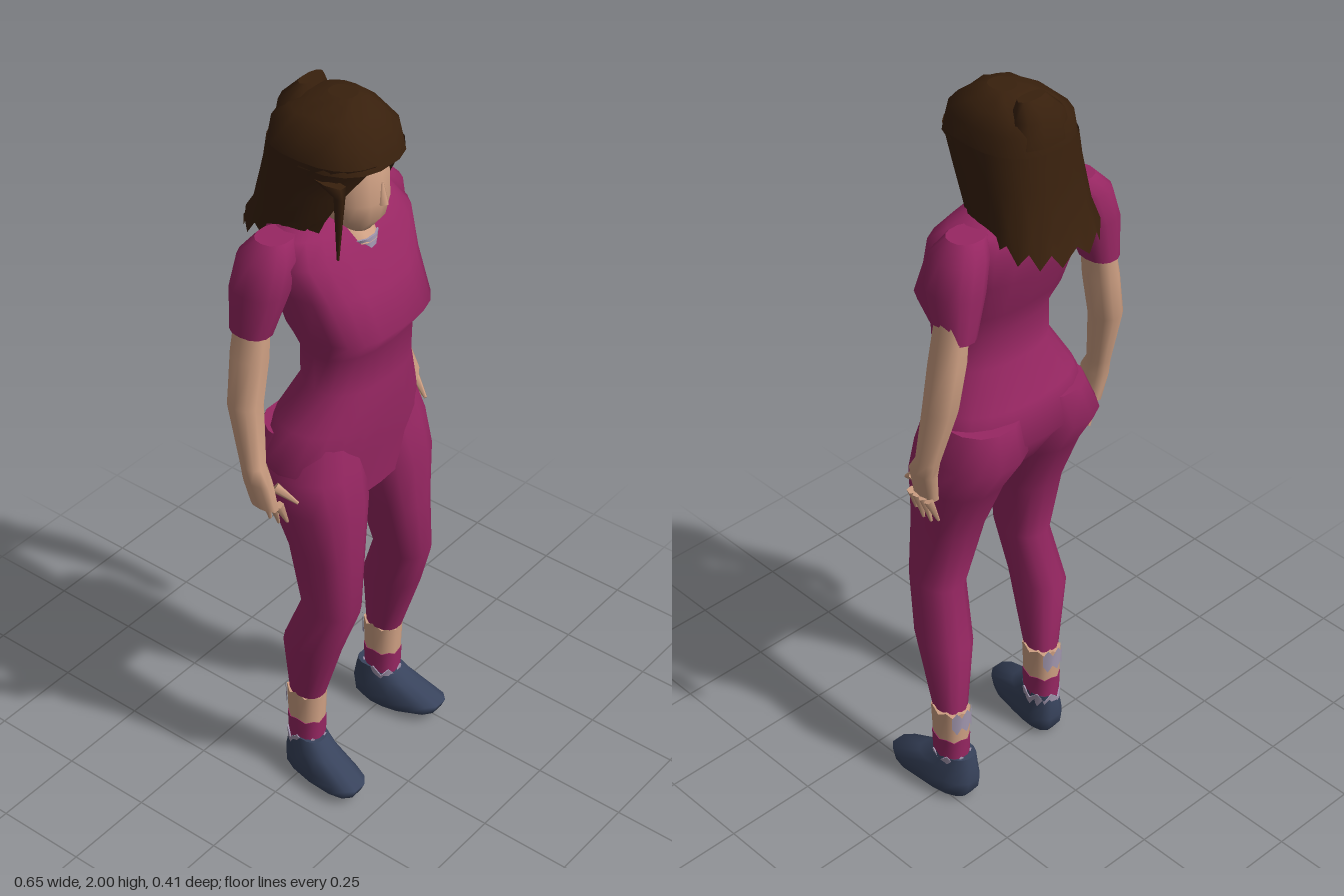
import * as THREE from 'three';

const mat = (name, color, side = THREE.FrontSide) => {
  const m = new THREE.MeshStandardMaterial({ color, side });
  m.name = name;
  return m;
};

// Skin a stack of rings, listed bottom to top.
// Ring: [y, xMin, xMax, zMin, zMax, squareness, zigzag, tilt, frontGap]
function loft(rings, { sides = 14, shear = 0, arc = null, open = false } = {}) {
  const pos = [], idx = [];
  const partial = open || arc;
  const cols = partial ? sides + 1 : sides;
  const bend = (v, n) => Math.sign(v) * Math.pow(Math.abs(v), 2 / n);
  const ringPoint = (r, j) => {
    const [y, x0, x1, z0, z1, n = 2.3, jag = 0, tilt = 0, gap = 0] = r;
    let a0 = 0, a1 = Math.PI * 2;
    if (arc) [a0, a1] = arc;
    else if (open) { a0 = Math.PI / 2 + gap; a1 = Math.PI * 2.5 - gap; }
    const t = a0 + (a1 - a0) * j / sides;
    const dz = bend(Math.sin(t), n) * (z1 - z0) / 2;
    const z = (z0 + z1) / 2 + dz;
    const x = (x0 + x1) / 2 + bend(Math.cos(t), n) * (x1 - x0) / 2 + shear * z;
    return [x, y + (j % 2 ? jag : -jag) + tilt * dz, z];
  };
  rings.forEach(r => { for (let j = 0; j < cols; j++) pos.push(...ringPoint(r, j)); });
  for (let i = 0; i < rings.length - 1; i++) {
    for (let j = 0; j < sides; j++) {
      const k = (j + 1) % cols, a = i * cols, b = a + cols;
      idx.push(a + j, b + j, a + k, a + k, b + j, b + k);
    }
  }
  // End caps
  if (!partial) {
    [0, rings.length - 1].forEach(i => {
      const r = rings[i], base = pos.length / 3, cz = (r[3] + r[4]) / 2;
      for (let j = 0; j < sides; j++) pos.push(...ringPoint(r, j));
      pos.push((r[1] + r[2]) / 2 + shear * cz, r[0], cz);
      for (let j = 0; j < sides; j++) {
        const p = base + j, q = base + (j + 1) % sides;
        idx.push(base + sides, ...(i ? [q, p] : [p, q]));
      }
    });
  }
  const g = new THREE.BufferGeometry();
  g.setAttribute('position', new THREE.Float32BufferAttribute(pos, 3));
  g.setIndex(idx);
  g.computeVertexNormals();
  return g;
}

// Mirror left-hand rings for side s (+1 or -1), then move them
const place = (rings, s, dx, dz) => rings.map(([y, x0, x1, z0, z1, ...rest]) =>
  [y, dx + (s > 0 ? x0 : -x1), dx + (s > 0 ? x1 : -x0), z0 + dz, z1 + dz, ...rest]);

// Tapered finger between two points
function finger(from, to, radius) {
  const a = new THREE.Vector3(...from), b = new THREE.Vector3(...to);
  const d = b.clone().sub(a);
  const g = new THREE.CylinderGeometry(radius * 0.3, radius, d.length(), 5);
  g.applyQuaternion(new THREE.Quaternion().setFromUnitVectors(new THREE.Vector3(0, 1, 0), d.normalize()));
  const c = a.add(b).multiplyScalar(0.5);
  return g.translate(c.x, c.y, c.z);
}

export function createModel() {
  const model = new THREE.Group();
  model.name = 'standingWoman';
  const cloth = mat('magentaCloth', 0x982763);
  const skin = mat('skin', 0xd0a184);
  const hair = mat('brownHair', 0x38200d, THREE.DoubleSide);
  const shoe = mat('blueShoe', 0x38435c);
  const trim = mat('lavenderTrim', 0xa398b0);
  const add = (name, geometry, material) => {
    const m = new THREE.Mesh(geometry, material);
    m.name = name;
    model.add(m);
  };

  // Torso, from crotch to collar
  add('torso', loft([
    [0.96, -0.20, 0.19, -0.03, 0.15],
    [1.08, -0.257, 0.235, -0.11, 0.16],
    [1.18, -0.215, 0.195, -0.085, 0.172],
    [1.28, -0.16, 0.157, -0.035, 0.17],
    [1.38, -0.16, 0.165, -0.035, 0.167],
    [1.445, -0.185, 0.178, -0.06, 0.212, 2.8],
    [1.55, -0.20, 0.19, -0.095, 0.165, 2.7],
    [1.64, -0.23, 0.215, -0.115, 0.125, 2.6],
    [1.69, -0.20, 0.18, -0.10, 0.085],
    [1.715, -0.13, 0.09, -0.07, 0.055],
  ], { sides: 20 }), cloth);

  // Neck, neckline and head
  add('necklineTrim', loft([[1.635, -0.05, 0.02, 0, 0.128], [1.66, -0.07, 0.04, 0, 0.124]]), trim);
  add('neck', loft([
    [1.65, -0.065, 0.035, 0, 0.126], [1.70, -0.08, 0.045, -0.03, 0.09],
    [1.73, -0.065, 0.025, -0.04, 0.06], [1.79, -0.065, 0.025, -0.05, 0.06],
  ]), skin);
  add('head', loft([
    [1.685, -0.055, 0.01, 0.05, 0.12], [1.72, -0.088, 0.043, 0, 0.148],
    [1.77, -0.105, 0.06, -0.06, 0.158], [1.88, -0.11, 0.065, -0.09, 0.152],
    [1.94, -0.08, 0.04, -0.06, 0.10],
  ], { sides: 16 }), skin);
  add('nose', finger([-0.022, 1.765, 0.158], [-0.022, 1.82, 0.153], 0.014), skin);

  // Hair: crown, hanging curtain, gathered tuft and loose strand
  add('hairCrown', loft([
    [1.87, -0.155, 0.115, -0.135, 0.177, 2.5], [1.93, -0.145, 0.108, -0.125, 0.16, 2.5],
    [1.965, -0.10, 0.08, -0.10, 0.12, 2.4, 0.004], [1.988, -0.06, 0.055, -0.05, 0.085],
    [1.995, -0.03, 0.03, -0.01, 0.06],
  ], { sides: 18 }), hair);
  add('hairCurtain', loft([
    [1.675, -0.162, 0.123, -0.20, 0.085, 2.6, 0.02, 0.25, 0.8],
    [1.72, -0.16, 0.12, -0.17, 0.10, 2.6, 0, 0.1, 0.75],
    [1.80, -0.157, 0.118, -0.15, 0.135, 2.5, 0, 0, 0.65],
    [1.885, -0.155, 0.115, -0.135, 0.174, 2.5, 0, 0, 0.25],
  ], { sides: 22, open: true }), hair);
  add('hairTuft', loft([
    [1.90, -0.09, 0.07, -0.135, -0.03], [1.96, -0.08, 0.06, -0.125, -0.035],
    [2, -0.04, 0.04, -0.085, -0.05],
  ], { sides: 10 }), hair);
  add('looseStrand', loft([
    [1.67, -0.157, -0.152, 0.13, 0.136], [1.83, -0.16, -0.145, 0.12, 0.15],
    [1.85, -0.155, -0.12, 0.05, 0.14],
  ], { sides: 6 }), hair);

  // Leg profile shared by both sides: y, half width, zMin, zMax
  const legProfile = [
    [0.285, 0.041, -0.045, 0.053], [0.485, 0.063, -0.04, 0.122], [0.63, 0.061, 0.017, 0.174],
    [0.81, 0.081, -0.015, 0.177], [0.96, 0.11, -0.07, 0.178], [1.06, 0.122, -0.127, 0.16],
    [1.15, 0.10, -0.10, 0.14],
  ];

  // Limbs share profiles; the relaxed stance shifts each side a little
  const stances = [
    { name: 'left', s: 1, dz: -0.01, ankleX: 0.219, legX: [0.216, 0.199, 0.167, 0.142, 0.13, 0.119, 0.107] },
    { name: 'right', s: -1, dz: 0.01, ankleX: -0.118, legX: [-0.121, -0.143, -0.138, -0.137, -0.138, -0.135, -0.12] },
  ];
  for (const { name, s, dz, ankleX, legX } of stances) {
    add(name + 'TrouserLeg', loft(legProfile.map(([y, w, z0, z1], i) =>
      [y, legX[i] - w, legX[i] + w, z0 + dz / 2, z1 + dz / 2])), cloth);

    // Bare ankle, cuff, sock and shoe
    const band = (y, jag, grow) =>
      [y, ankleX - 0.041 - grow, ankleX + 0.041 + grow, dz / 2 - 0.053 - grow, dz / 2 + 0.048 + grow, 2.3, jag];
    add(name + 'Ankle', loft([band(0.19, 0, 0), band(0.285, 0.008, 0.003)]), skin);
    add(name + 'AnkleCuff', loft([band(0.125, 0.008, 0), band(0.195, 0.004, 0.002)]), cloth);
    add(name + 'Sock', loft([band(0.09, 0, 0.002), band(0.13, 0.012, 0.004)]), trim);
    add(name + 'CalfPatch', loft([band(0.235, -0.01, 0.005), band(0.29, 0.01, 0.007)],
      { sides: 6, arc: [Math.PI * 1.2, Math.PI * 1.75] }), trim);
    add(name + 'Shoe', loft(place([
      [0, -0.035, 0.042, -0.05, 0.115], [0.03, -0.053, 0.062, -0.07, 0.178, 2.7],
      [0.06, -0.053, 0.06, -0.074, 0.191, 2.7], [0.10, -0.046, 0.052, -0.069, 0.10],
      [0.135, -0.042, 0.042, -0.06, 0.05],
    ], s, ankleX, dz * 1.4), { shear: 0.125 * s }), shoe);

    // Sleeve and arm
    add(name + 'Sleeve', loft(place([
      [1.465, 0.2, 0.287, -0.102, 0.006], [1.58, 0.165, 0.29, -0.107, 0.04],
      [1.66, 0.145, 0.27, -0.098, 0.043], [1.70, 0.135, 0.232, -0.067, 0.018],
    ], s, -0.014, dz), cloth === skin ? {} : { sides: 14 }), cloth);
    add(name + 'Arm', loft(place([
      [1.0, 0.267, 0.305, -0.03, 0.05], [1.08, 0.274, 0.325, -0.04, 0.044],
      [1.12, 0.27, 0.325, -0.045, 0.02], [1.28, 0.243, 0.323, -0.09, 0],
      [1.40, 0.221, 0.302, -0.097, 0.002], [1.52, 0.208, 0.279, -0.092, -0.003],
    ], s, -0.007, dz), { sides: 10 }), skin);

    // Four fanned fingers and a thumb
    const handX = 0.287 * s + 0.01, tipX = 0.266 * s + 0.014, handZ = 0.01 + dz;
    for (let i = 0; i < 4; i++) {
      add(name + 'Finger' + (i + 1), finger([handX, 1.005, handZ - 0.03 + 0.02 * i],
        [tipX, 0.945 - 0.02 * Math.sin(i), handZ - 0.045 + 0.027 * i], 0.013), skin);
    }
    add(name + 'Thumb', finger([handX, 1.055, handZ + 0.02], [tipX, 1.015, handZ + 0.07], 0.014), skin);
  }
  return model;
}
